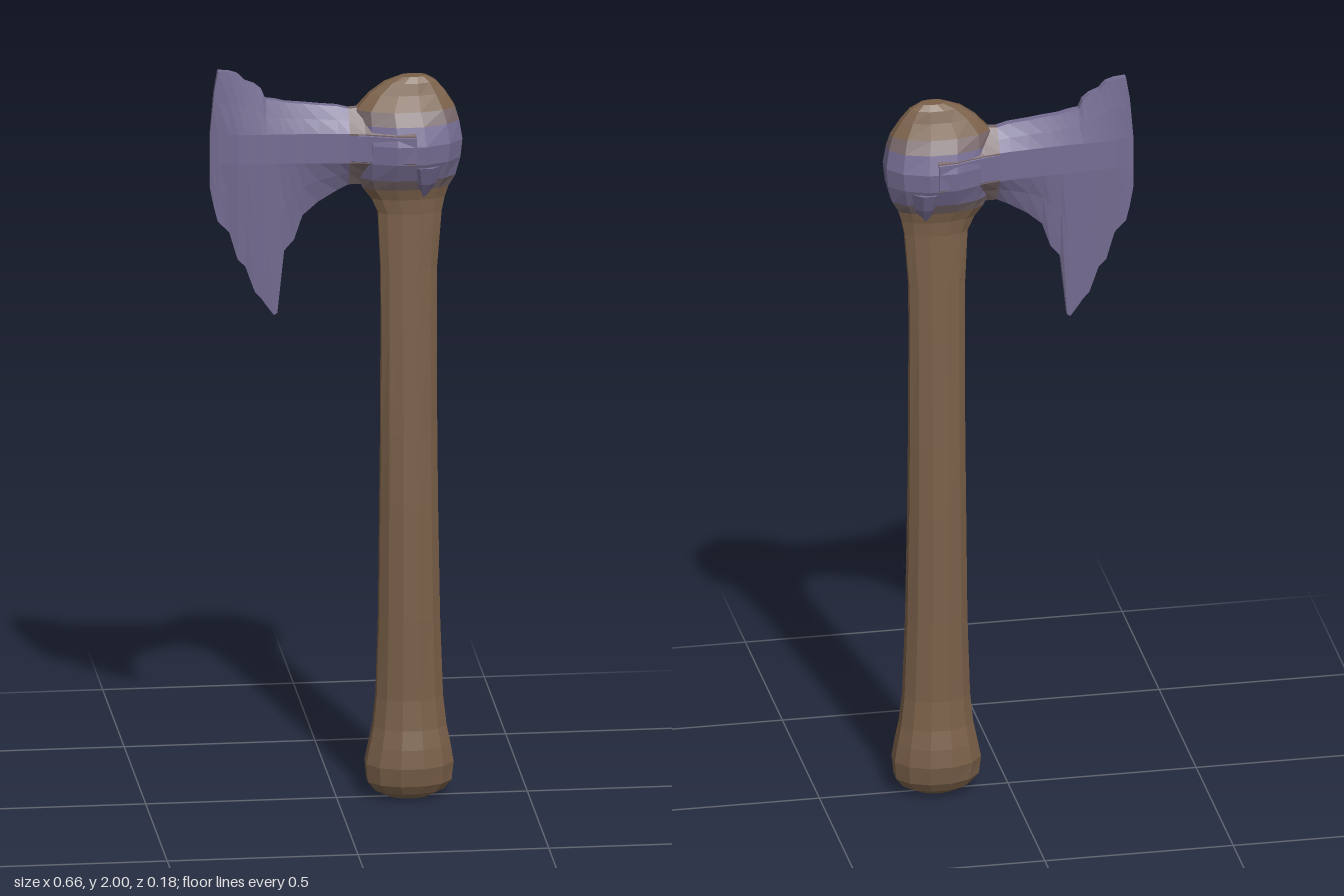
import * as THREE from 'three';

const WOOD = 0x7a6049, STEEL = 0x766d93, BLEND = 0x78676a;

// Skins a list of closed cross-sections and caps both ends.
function loft(name, rings, color) {
  const n = rings[0].length;
  const pos = rings.flat(2);
  const idx = [];
  for (let i = 0; i < rings.length - 1; i++) {
    for (let j = 0; j < n; j++) {
      const a = i * n + j, b = i * n + (j + 1) % n;
      idx.push(a, a + n, b, b, a + n, b + n);
    }
  }
  const last = (rings.length - 1) * n;
  for (let j = 1; j < n - 1; j++) {
    idx.push(0, j, j + 1);
    idx.push(last, last + j + 1, last + j);
  }
  const indexed = new THREE.BufferGeometry();
  indexed.setAttribute('position', new THREE.Float32BufferAttribute(pos, 3));
  indexed.setIndex(idx);
  const geometry = indexed.toNonIndexed();
  geometry.computeVertexNormals();
  const mesh = new THREE.Mesh(geometry, new THREE.MeshStandardMaterial({ color, flatShading: true }));
  mesh.name = name;
  return mesh;
}

// Horizontal oval section: height, left and right x, half depth.
function oval([y, x0, x1, hz], sides = 12) {
  return Array.from({ length: sides }, (_, j) => {
    const a = ((j + 0.5) / sides) * Math.PI * 2;
    return [(x0 + x1) / 2 + Math.cos(a) * (x1 - x0) / 2 * 1.03, y, Math.sin(a) * hz * 1.03];
  });
}

// Vertical blade section: thick along the middle, thinning to both edges.
function bladeSection([x, top, bottom, t]) {
  const edge = Math.min(t, 0.01);
  const waist = edge + (t - edge) * 0.5;
  const upper = Math.min(1.83, top - 0.02), lower = Math.max(1.75, bottom + 0.02);
  const half = [
    [top, edge],
    [upper + (top - upper) * 0.5, waist],
    [upper, t],
    [lower, t],
    [lower + (bottom - lower) * 0.45, waist],
    [bottom, edge * 0.8],
  ];
  return [
    ...half.map(([y, z]) => [x, y, -z]),
    ...half.reverse().map(([y, z]) => [x, y, z]),
  ];
}

export function createModel() {
  const group = new THREE.Group();
  group.name = 'axe';
  const addOvals = (name, rows, color) => group.add(loft(name, rows.map((r) => oval(r)), color));

  // Handle with a swollen butt and a slim, flared neck
  addOvals('handle', [
    [0.005, 0.14, 0.24, 0.03],
    [0.025, 0.10, 0.28, 0.06],
    [0.05, 0.08, 0.30, 0.075],
    [0.10, 0.075, 0.305, 0.085],
    [0.15, 0.085, 0.297, 0.08],
    [0.20, 0.095, 0.287, 0.07],
    [0.28, 0.103, 0.278, 0.063],
    [0.50, 0.11, 0.27, 0.062],
    [0.80, 0.113, 0.265, 0.058],
    [1.00, 0.115, 0.263, 0.052],
    [1.30, 0.116, 0.262, 0.042],
    [1.45, 0.115, 0.263, 0.038],
    [1.60, 0.108, 0.275, 0.034],
    [1.64, 0.09, 0.283, 0.037],
    [1.67, 0.067, 0.293, 0.046],
  ], WOOD);

  // Eye of the head: steel band with blended borders, wooden cap above
  addOvals('lowerCollar', [
    [1.67, 0.067, 0.293, 0.046],
    [1.70, 0.055, 0.31, 0.064],
  ], BLEND);
  addOvals('collar', [
    [1.70, 0.055, 0.31, 0.064],
    [1.75, 0.05, 0.323, 0.088],
    [1.80, 0.05, 0.328, 0.092],
    [1.85, 0.05, 0.32, 0.077],
  ], STEEL);
  addOvals('upperCollar', [
    [1.85, 0.05, 0.32, 0.077],
    [1.885, 0.05, 0.31, 0.058],
  ], BLEND);
  addOvals('cap', [
    [1.885, 0.05, 0.31, 0.058],
    [1.925, 0.085, 0.285, 0.04],
    [1.955, 0.125, 0.26, 0.03],
    [1.97, 0.165, 0.235, 0.018],
  ], WOOD);

  // Pointed tongue of the band over the neck
  addOvals('tongue', [
    [1.65, 0.215, 0.235, 0.04],
    [1.69, 0.185, 0.268, 0.068],
    [1.74, 0.165, 0.285, 0.09],
  ], STEEL);

  // Blade sections: x, top, bottom, half thickness
  const blade = [
    [-0.332, 1.83, 1.68, 0.006],
    [-0.322, 1.94, 1.63, 0.01],
    [-0.312, 2.00, 1.59, 0.014],
    [-0.282, 1.997, 1.56, 0.022],
    [-0.26, 1.99, 1.485, 0.027],
    [-0.24, 1.97, 1.465, 0.029],
    [-0.215, 1.96, 1.395, 0.03],
    [-0.197, 1.945, 1.375, 0.031],
    [-0.187, 1.92, 1.36, 0.031],
    [-0.165, 1.917, 1.33, 0.032],
    [-0.156, 1.915, 1.335, 0.032],
    [-0.138, 1.91, 1.505, 0.033],
    [-0.112, 1.907, 1.535, 0.035],
    [-0.09, 1.905, 1.60, 0.036],
    [-0.05, 1.90, 1.635, 0.04],
    [0.0, 1.895, 1.665, 0.045],
    [0.03, 1.887, 1.68, 0.049],
  ];
  group.add(loft('blade', blade.map(bladeSection), STEEL));

  // Neck joining the blade to the eye
  group.add(loft('bladeNeck', [
    [0.03, 1.887, 1.68, 0.049],
    [0.07, 1.89, 1.68, 0.057],
    [0.11, 1.89, 1.69, 0.07],
    [0.15, 1.88, 1.70, 0.084],
    [0.20, 1.87, 1.71, 0.09],
  ].map(bladeSection), BLEND));

  // Steel strap along each side of the neck
  for (const side of [1, -1]) {
    const rows = [[0.02, 0.047], [0.07, 0.059], [0.11, 0.072], [0.15, 0.086], [0.20, 0.092]];
    group.add(loft(side > 0 ? 'frontStrap' : 'backStrap', rows.map(([x, z]) => {
      const outer = side * z, inner = side * (z - 0.02);
      const ring = [[x, 1.84, inner], [x, 1.825, outer], [x, 1.755, outer], [x, 1.74, inner]];
      return side > 0 ? ring.reverse() : ring;
    }), STEEL));
  }
  return group;
}
